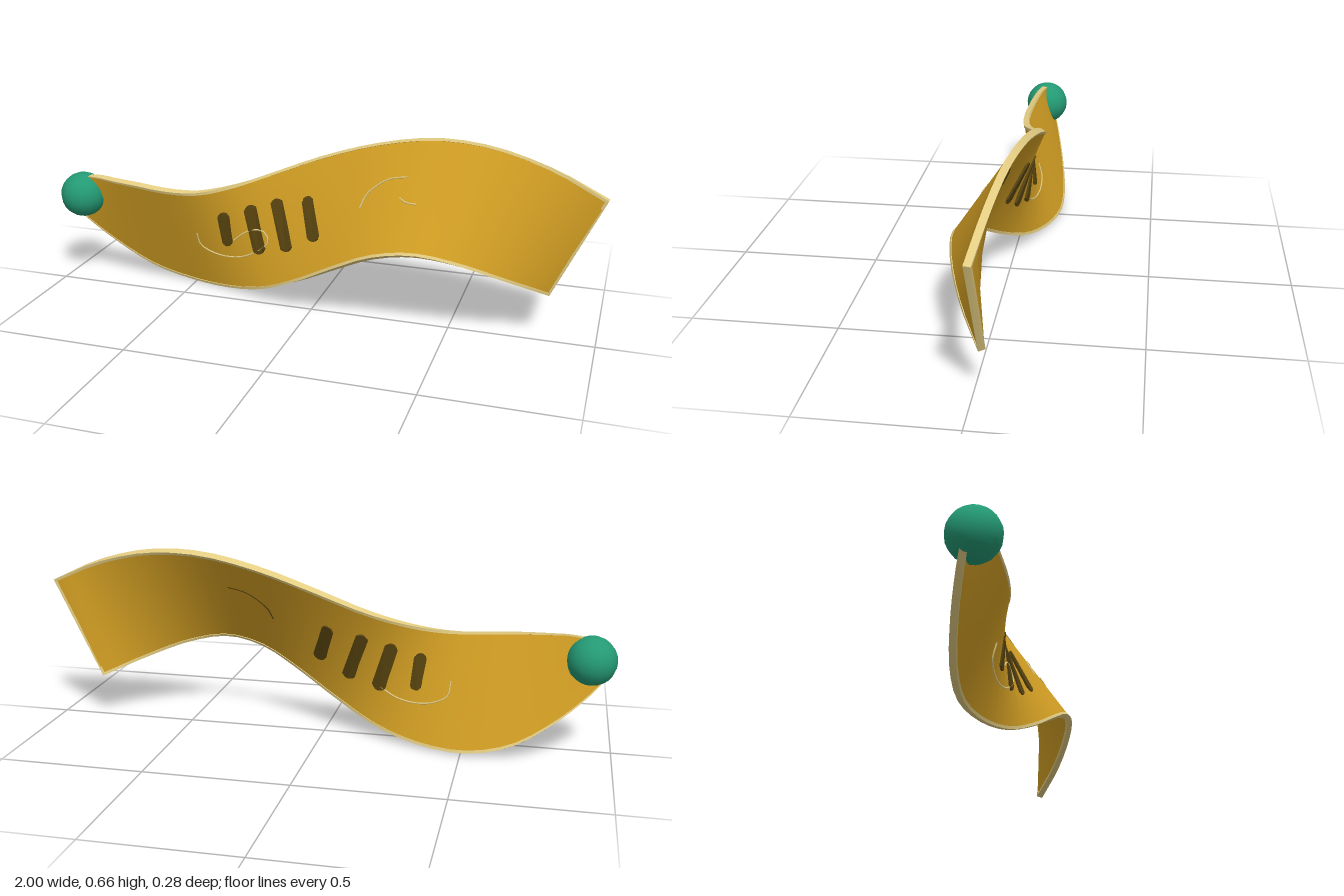
import * as THREE from 'three';
import { mergeGeometries } from 'three/addons/utils/BufferGeometryUtils.js';

// Matching stations along the lower and upper edges, from the wide end to the ball
const lower = [[.83, .16, -.03], [.68, .225, .05], [.53, .28, .105], [.39, .303, .13], [.25, .275, .12],
  [.11, .205, .085], [-.04, .12, .035], [-.2, .045, -.03], [-.36, .01, -.09], [-.52, .008, -.13],
  [-.67, .045, -.13], [-.8, .125, -.108], [-.9, .21, -.08], [-.965, .28, -.055]];
const upper = [[1, .515, -.02], [.82, .595, -.045], [.62, .645, -.07], [.42, .65, -.095], [.21, .61, -.11],
  [.01, .545, -.115], [-.17, .475, -.095], [-.32, .425, -.045], [-.44, .402, -.005], [-.56, .402, .006],
  [-.67, .41, 0], [-.77, .415, -.01], [-.83, .418, -.02], [-.88, .415, -.03]];
const toCurve = pts => new THREE.CatmullRomCurve3(pts.map(p => new THREE.Vector3(...p)));
const lowCurve = toCurve(lower);
const topCurve = toCurve(upper);

// Point on the twisted band: t along it, v from lower to upper edge, o outward to the front
function band(t, v, o) {
  const at = (s, w) => lowCurve.getPoint(s).lerp(topCurve.getPoint(s), w);
  const along = at(Math.min(1, t + .005), v).sub(at(Math.max(0, t - .005), v));
  const across = at(t, 1).sub(at(t, 0));
  const n = across.cross(along).normalize();
  if (n.z < 0) n.negate();
  return at(t, v).addScaledVector(n, o);
}

// Lay a flat front-on point (x, y) onto the band
function project(x, y, o) {
  let best = Infinity, bt = 0, bv = 0;
  for (let i = 0; i <= 400; i++) {
    const t = i / 400, a = lowCurve.getPoint(t), b = topCurve.getPoint(t);
    const dx = b.x - a.x, dy = b.y - a.y;
    const v = ((x - a.x) * dx + (y - a.y) * dy) / (dx * dx + dy * dy);
    const d = Math.hypot(a.x + dx * v - x, a.y + dy * v - y);
    if (d < best) { best = d; bt = t; bv = v; }
  }
  return band(bt, bv, o);
}

function gridGeometry(points, index) {
  const g = new THREE.BufferGeometry();
  g.setAttribute('position', new THREE.Float32BufferAttribute(points.flatMap(p => p.toArray()), 3));
  g.setIndex(index);
  g.computeVertexNormals();
  return g;
}

// Rectangular section swept along the band, smooth along its length with sharp edges
function sweep(v0, v1, h, t0 = 0, t1 = 1, steps = 36) {
  const profile = [[v0, h], [v1, h], [v1, -h], [v0, -h]];
  const parts = [];
  for (let k = 0; k < 4; k++) {
    const a = profile[k], b = profile[(k + 1) % 4], points = [], index = [];
    for (let i = 0; i <= steps; i++) {
      const t = t0 + (t1 - t0) * i / steps, j = i * 2;
      points.push(band(t, ...a), band(t, ...b));
      if (i < steps) index.push(j, j + 1, j + 2, j + 1, j + 3, j + 2);
    }
    parts.push(gridGeometry(points, index));
  }
  parts.push(gridGeometry(profile.map(p => band(t0, ...p)), [0, 2, 1, 0, 3, 2]));
  parts.push(gridGeometry(profile.map(p => band(t1, ...p)), [0, 1, 2, 0, 2, 3]));
  return mergeGeometries(parts);
}

// Rounded bar inlaid through the band, showing on both faces
function inlay(x0, y0, x1, y1, r) {
  const a = Math.atan2(y1 - y0, x1 - x0), shape = new THREE.Shape();
  shape.absarc(x1, y1, r, a - Math.PI / 2, a + Math.PI / 2);
  shape.absarc(x0, y0, r, a + Math.PI / 2, a + Math.PI * 1.5);
  shape.closePath();
  const g = new THREE.ExtrudeGeometry(shape, { depth: 1, bevelEnabled: false, curveSegments: 6 });
  const p = g.attributes.position;
  for (let i = 0; i < p.count; i++) {
    const q = project(p.getX(i), p.getY(i), (p.getZ(i) * 2 - 1) * .0125);
    p.setXYZ(i, q.x, q.y, q.z);
  }
  g.computeVertexNormals();
  return g;
}

// Fine wire following the band surface
function wire(points, offset) {
  const curve = new THREE.CatmullRomCurve3(points.map(([x, y]) => project(x, y, offset)));
  return new THREE.TubeGeometry(curve, 24, .003, 5);
}

export function createModel() {
  const group = new THREE.Group();
  const material = (name, color) => {
    const m = new THREE.MeshStandardMaterial({ color });
    m.name = name;
    return m;
  };
  const gold = material('gold', 0xd4a024);
  const trim = material('pale trim', 0xe3cc82);
  const dark = material('dark brown', 0x57430f);
  const teal = material('teal', 0x249a74);
  const add = (name, geometry, mat) => {
    const mesh = new THREE.Mesh(geometry, mat);
    mesh.name = name;
    group.add(mesh);
    return mesh;
  };

  // Twisted band with pale edges
  add('band', sweep(.015, .985, .009), gold);
  add('lowerEdge', sweep(0, .025, .0115), trim);
  add('upperEdge', sweep(.975, 1, .0115), trim);
  add('endEdge', sweep(0, 1, .0115, 0, .004, 1), trim);

  // Four slanted bars
  const bars = [[-.335, .215, -.345, .305, .02], [-.207, .205, -.243, .335, .024],
    [-.097, .235, -.143, .365, .024], [.012, .29, -.022, .39, .021]];
  bars.forEach((b, i) => add('bar' + (i + 1), inlay(...b), dark));

  // Fine curls
  const curlLeft = [[-.455, .235], [-.445, .185], [-.40, .158], [-.34, .15], [-.27, .162], [-.2, .2],
    [-.17, .235], [-.185, .265], [-.22, .272], [-.265, .255], [-.31, .22]];
  const curlRight = [[.18, .41], [.2, .452], [.235, .488], [.28, .512], [.34, .525]];
  const curlTip = [[.32, .462], [.345, .452], [.385, .45]];
  add('curlLeft', wire(curlLeft, .0095), trim);
  add('curlLeftBack', wire(curlLeft.slice(0, 6), -.0095), trim);
  add('curlRight', wire(curlRight, .0095), trim);
  add('curlRightBack', wire(curlRight, -.0085), dark);
  add('curlTip', wire(curlTip, .0095), trim);

  // Ball at the narrow end
  add('endBall', new THREE.SphereGeometry(.084, 16, 12), teal).position.set(-.916, .336, -.037);
  return group;
}
